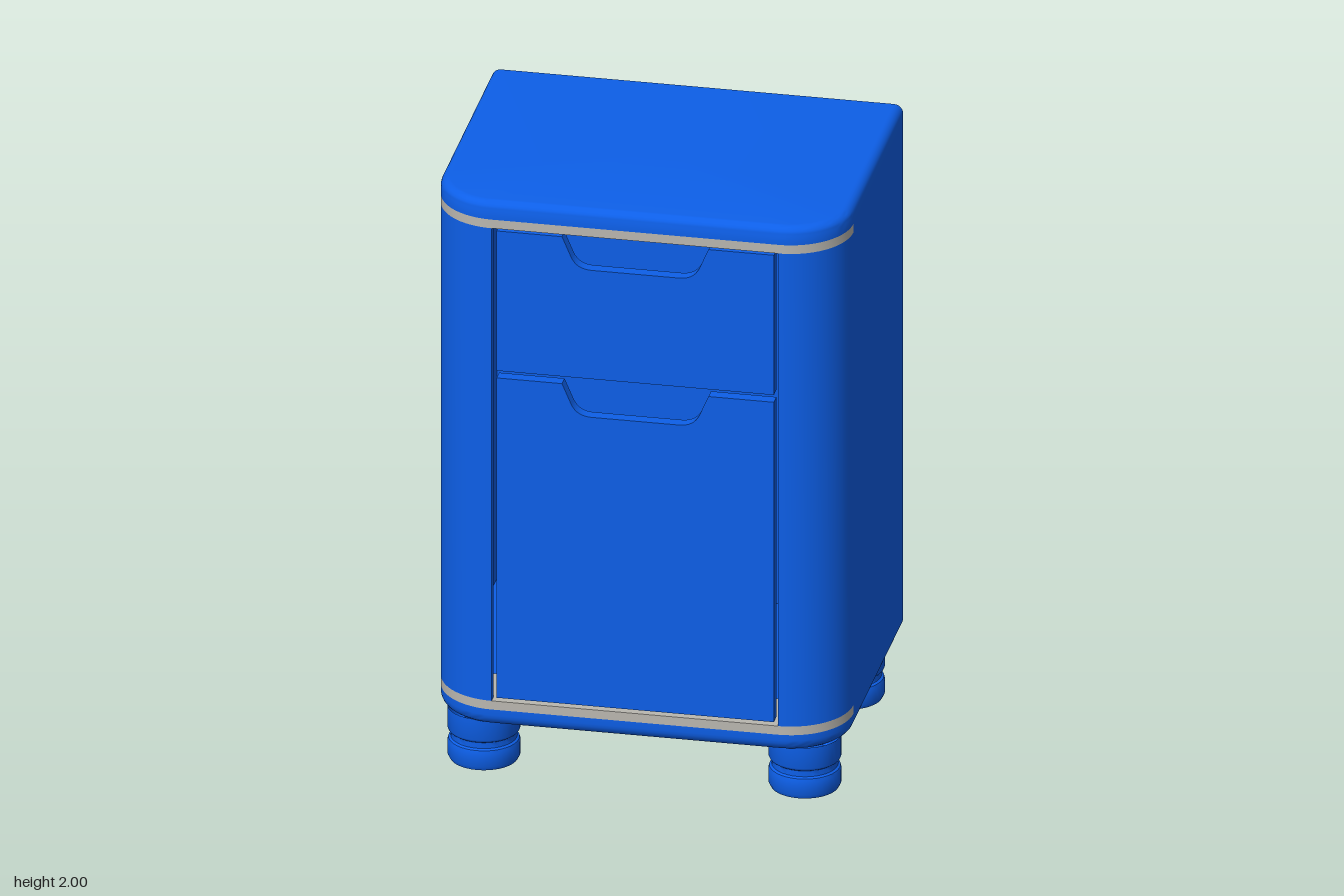
import * as THREE from 'three';
import { toCreasedNormals } from 'three/addons/utils/BufferGeometryUtils.js';

const HW = 0.66, BACK = -0.485, FRONT = 0.485, R = 0.2, SEAM = FRONT - R;
const blue = new THREE.MeshStandardMaterial({ color: 0x0d5fe8, side: THREE.DoubleSide });
const trimGrey = new THREE.MeshStandardMaterial({ color: 0xbab7b0 });

function add(group, name, geometry, material = blue) {
  const mesh = new THREE.Mesh(geometry, material);
  mesh.name = name;
  group.add(mesh);
  return mesh;
}

// Quarter-round front corner as [x, z] points, from the side seam to the front
function corner(inset, side = 1, n = 14) {
  const r = R - inset, pts = [];
  for (let i = 0; i <= n; i++) {
    const a = (i / n) * Math.PI / 2;
    pts.push([side * (HW - R + r * Math.cos(a)), SEAM + r * Math.sin(a)]);
  }
  return pts;
}

// Plan outline: square at the back, rounded at the front
function outline(inset, back) {
  return [[HW - inset, back], ...corner(inset), ...corner(inset, -1).reverse(), [-HW + inset, back]];
}

// Extrude a plan outline of [x, z] points upward between two heights
function slab(points, y0, y1) {
  const shape = new THREE.Shape(points.map(([x, z]) => new THREE.Vector2(x, -z)));
  const geo = new THREE.ExtrudeGeometry(shape, { depth: y1 - y0, bevelEnabled: false });
  geo.rotateX(-Math.PI / 2).translate(0, y0, 0);
  return toCreasedNormals(geo, 0.6);
}

// Skin stacked plan outlines, listed from bottom to top, and cap both ends
function loft(rings) {
  const n = rings[0].points.length, pos = [], idx = [];
  rings.forEach(({ y, points }) => points.forEach(([x, z]) => pos.push(x, y, z)));
  for (let k = 0; k < rings.length - 1; k++) {
    for (let i = 0; i < n; i++) {
      const a = k * n + i, b = k * n + (i + 1) % n;
      idx.push(a, a + n, b, b, a + n, b + n);
    }
  }
  const last = (rings.length - 1) * n, low = rings.length * n, high = low + 1;
  pos.push(0, rings[0].y, 0, 0, rings[rings.length - 1].y, 0);
  for (let i = 0; i < n; i++) {
    const j = (i + 1) % n;
    idx.push(low, i, j, high, last + j, last + i);
  }
  const geo = new THREE.BufferGeometry();
  geo.setAttribute('position', new THREE.Float32BufferAttribute(pos, 3));
  geo.setIndex(idx);
  return toCreasedNormals(geo, 0.6);
}

// Rings of a rounded edge; dir is +1 for a top edge and -1 for a bottom edge
function roundedEdge(y, r, dir, roundBack) {
  const rings = [], n = 6;
  for (let i = 0; i <= n; i++) {
    const a = (i / n) * Math.PI / 2, inset = r * (1 - Math.cos(a));
    rings.push({
      y: y + dir * (r * Math.sin(a) - r),
      points: outline(inset, BACK + (roundBack ? inset : 0)),
    });
  }
  return dir > 0 ? rings : rings.reverse();
}

// Drawer front with a scooped finger notch in its top edge
function drawerFront(y0, y1) {
  const w = 0.445, s = new THREE.Shape();
  s.moveTo(-w, y0);
  s.lineTo(w, y0);
  s.lineTo(w, y1);
  s.lineTo(0.235, y1);
  s.lineTo(0.205, y1 - 0.07);
  s.quadraticCurveTo(0.187, y1 - 0.108, 0.14, y1 - 0.108);
  s.lineTo(-0.14, y1 - 0.108);
  s.quadraticCurveTo(-0.187, y1 - 0.108, -0.205, y1 - 0.07);
  s.lineTo(-0.235, y1);
  s.lineTo(-w, y1);
  const geo = new THREE.ExtrudeGeometry(s, { depth: 0.04, bevelEnabled: false, curveSegments: 8 });
  geo.translate(0, 0, FRONT - 0.045);
  return toCreasedNormals(geo, 0.6);
}

export function createModel() {
  const group = new THREE.Group();
  group.name = 'cabinet';

  // Top and base slabs
  add(group, 'topPanel', loft([{ y: 1.94, points: outline(0, BACK) }, ...roundedEdge(2, 0.03, 1, false)]));
  add(group, 'basePanel', loft([...roundedEdge(0.18, 0.04, -1, true), { y: 0.24, points: outline(0, BACK) }]));

  // Hollow rear shell: two sides and the back
  const t = 0.02;
  add(group, 'rearShell', slab([
    [-HW, SEAM], [-HW, BACK], [HW, BACK], [HW, SEAM],
    [HW - t, SEAM], [HW - t, BACK + t], [-HW + t, BACK + t], [-HW + t, SEAM],
  ], 0.24, 1.94));

  // Grey strips wrapping the front below the top and above the base
  for (const [name, y] of [['upperTrim', 1.91], ['lowerTrim', 0.24]]) {
    add(group, name, slab(outline(0, SEAM), y, y + 0.03), trimGrey);
  }

  // Rounded front corner columns
  for (const side of [1, -1]) {
    add(group, side > 0 ? 'leftColumn' : 'rightColumn',
      slab([...corner(0, side), ...corner(0.03, side).reverse()], 0.27, 1.91));
  }

  // Drawer fronts
  add(group, 'upperDrawer', drawerFront(1.415, 1.9));
  add(group, 'lowerDrawer', drawerFront(0.28, 1.39));

  // Feet with a groove around the middle
  const profile = [
    [0, 0], [0.095, 0], [0.108, 0.006], [0.115, 0.02], [0.115, 0.065], [0.112, 0.075], [0.105, 0.08],
    [0.105, 0.1], [0.112, 0.105], [0.115, 0.112], [0.115, 0.185],
  ].map(([r, y]) => new THREE.Vector2(r, y));
  const footGeo = toCreasedNormals(new THREE.LatheGeometry(profile, 36), 0.6);
  for (const x of [-0.515, 0.515]) {
    for (const z of [-0.336, 0.336]) {
      add(group, z > 0 ? 'frontFoot' : 'backFoot', footGeo).position.set(x, 0, z);
    }
  }
  return group;
}
